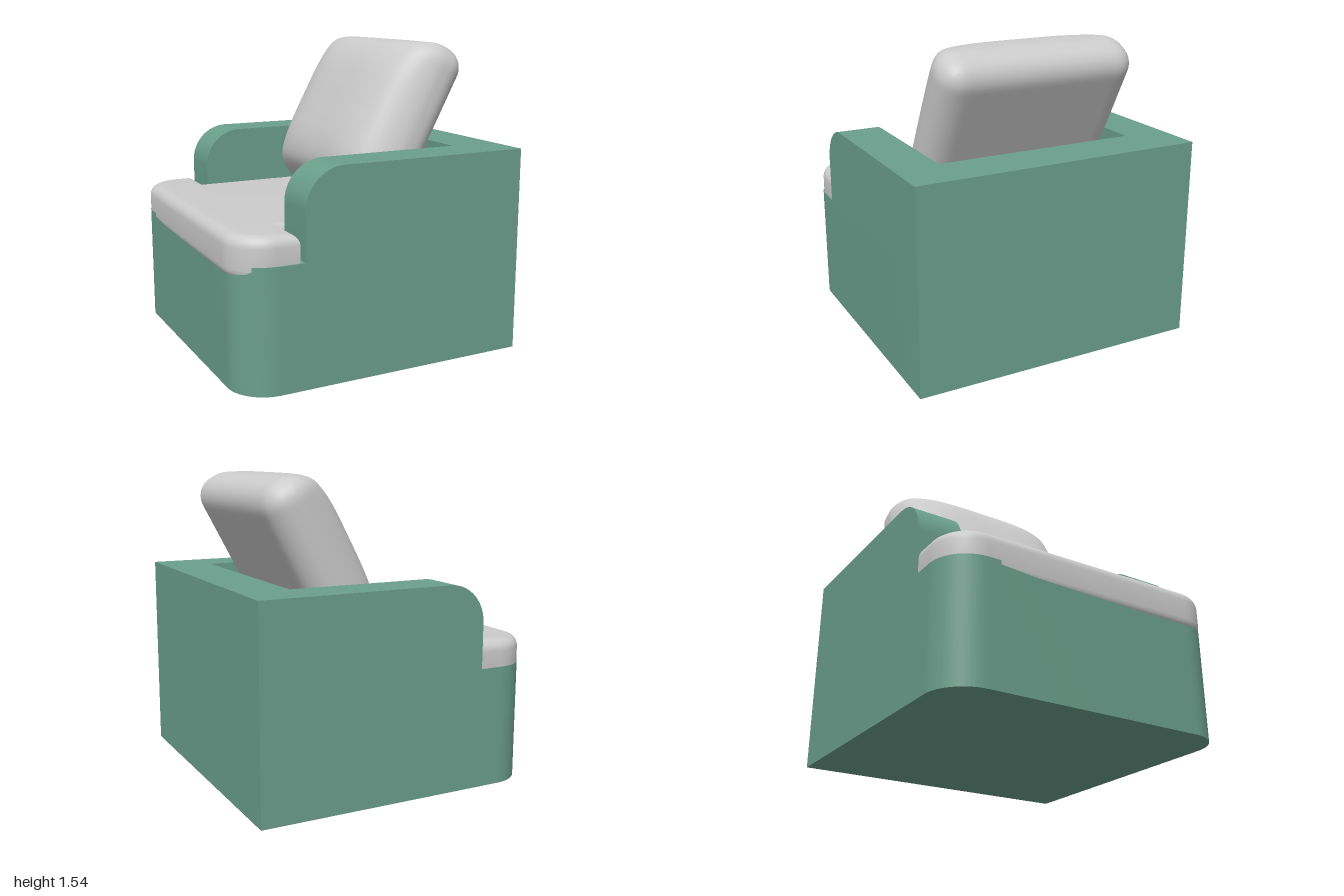
import * as THREE from 'three';
import { toCreasedNormals } from 'three/addons/utils/BufferGeometryUtils.js';

const green = new THREE.MeshStandardMaterial({ color: 0x6b9f8d });
const grey = new THREE.MeshStandardMaterial({ color: 0xcccccc });

const HALF = 0.747;  // half the chair's width
const ARM = 0.226;   // arm thickness
const BACK = 0.25;   // back thickness
const TOP = 1.025;   // height of arms and back
const SEAT = 0.6;    // height of the base
const INNER = HALF - ARM;

function add(parent, name, geometry, material) {
  const mesh = new THREE.Mesh(geometry, material);
  mesh.name = name;
  parent.add(mesh);
  return mesh;
}

// Extrudes a floor-plan shape (x, z) downward from y = 0
function extrudePlan(shape, options) {
  const g = new THREE.ExtrudeGeometry(shape, { curveSegments: 16, bevelEnabled: false, ...options });
  g.rotateX(Math.PI / 2);
  return g;
}

// Base plan: square at the back, rounded front corners
function basePlan(w, d, r) {
  const s = new THREE.Shape();
  s.moveTo(-w, 0);
  s.lineTo(w, 0);
  s.lineTo(w, d - r);
  s.absarc(w - r, d - r, r, 0, Math.PI / 2);
  s.absarc(-w + r, d - r, r, Math.PI / 2, Math.PI);
  s.closePath();
  return s;
}

// T-shaped cushion plan: stem between the arms, bar in front of them
function cushionPlan(w, stem, z0, z1, z2, r) {
  const s = new THREE.Shape();
  s.moveTo(-stem, z0);
  s.lineTo(stem, z0);
  s.lineTo(stem, z1);
  s.lineTo(w, z1);
  s.lineTo(w, z2 - r);
  s.absarc(w - r, z2 - r, r, 0, Math.PI / 2);
  s.absarc(-w + r, z2 - r, r, Math.PI / 2, Math.PI);
  s.lineTo(-w, z1);
  s.lineTo(-stem, z1);
  s.closePath();
  return s;
}

// Arm: side profile (z, y) with a rounded upper front, extruded across x
function armGeometry() {
  const front = 1.17, r = 0.195;
  const s = new THREE.Shape();
  s.moveTo(0, SEAT);
  s.lineTo(front, SEAT);
  s.lineTo(front, TOP - r);
  s.absarc(front - r, TOP - r, r, 0, Math.PI / 2);
  s.lineTo(0, TOP);
  s.closePath();
  const g = new THREE.ExtrudeGeometry(s, { depth: ARM, bevelEnabled: false, curveSegments: 16 });
  g.rotateY(-Math.PI / 2);
  g.translate(ARM / 2, 0, 0);
  return toCreasedNormals(g, 0.5);
}

// Pillow: rounded block whose front face swells outward
function pillowGeometry(w, h, t, r, bulge) {
  const g = new THREE.BoxGeometry(w, h, t, 40, 36, 16);
  const p = g.attributes.position;
  const half = new THREE.Vector3(w / 2, h / 2, t / 2);
  const core = half.clone().subScalar(r);
  const v = new THREE.Vector3(), c = new THREE.Vector3();
  for (let i = 0; i < p.count; i++) {
    v.fromBufferAttribute(p, i);
    c.copy(v).clamp(core.clone().negate(), core);
    v.sub(c).setLength(r).add(c);
    const nx = v.x / half.x, ny = v.y / half.y;
    const front = THREE.MathUtils.smoothstep(v.z, -0.02, t / 2);
    v.z += bulge * front * (1 - nx ** 4) * (1 - ny ** 4);
    p.setXYZ(i, v.x, v.y, v.z);
  }
  return toCreasedNormals(g, 1.2);
}

export function createModel() {
  const model = new THREE.Group();
  model.name = 'armchair';

  // The chair is built around the middle of its back edge, then turned
  const chair = new THREE.Group();
  chair.name = 'chair';
  chair.position.set(0.3825, 0, -0.58);
  chair.rotation.y = -0.597;
  model.add(chair);

  // Base
  const base = extrudePlan(basePlan(HALF, 1.48, 0.19), { depth: SEAT });
  base.translate(0, SEAT, 0);
  add(chair, 'base', toCreasedNormals(base, 0.5), green);

  // Arms
  for (const [name, side] of [['leftArm', 1], ['rightArm', -1]]) {
    add(chair, name, armGeometry(), green).position.x = side * (HALF - ARM / 2);
  }

  // Back between the arms
  add(chair, 'backrest', new THREE.BoxGeometry(2 * INNER, TOP - SEAT, BACK), green)
    .position.set(0, (TOP + SEAT) / 2, BACK / 2);

  // Seat cushion, its lower edge sunk into the base
  const b = 0.055;
  const cushion = extrudePlan(cushionPlan(0.742, 0.525, 0.24, 1.185, 1.485, 0.19), {
    depth: 0.1, bevelEnabled: true, bevelSize: b, bevelThickness: b, bevelOffset: -b, bevelSegments: 6,
  });
  cushion.translate(0, 0.735 - b, 0);
  const seat = add(chair, 'seatCushion', toCreasedNormals(cushion, 0.6), grey);
  seat.rotation.y = -0.01;
  seat.position.x = 0.01;

  // Leaning back pillow
  const pillow = add(chair, 'backPillow', pillowGeometry(1.03, 0.88, 0.25, 0.11, 0.13), grey);
  pillow.position.set(0, 1.12, 0.445);
  pillow.rotation.x = -0.49;

  return model;
}
